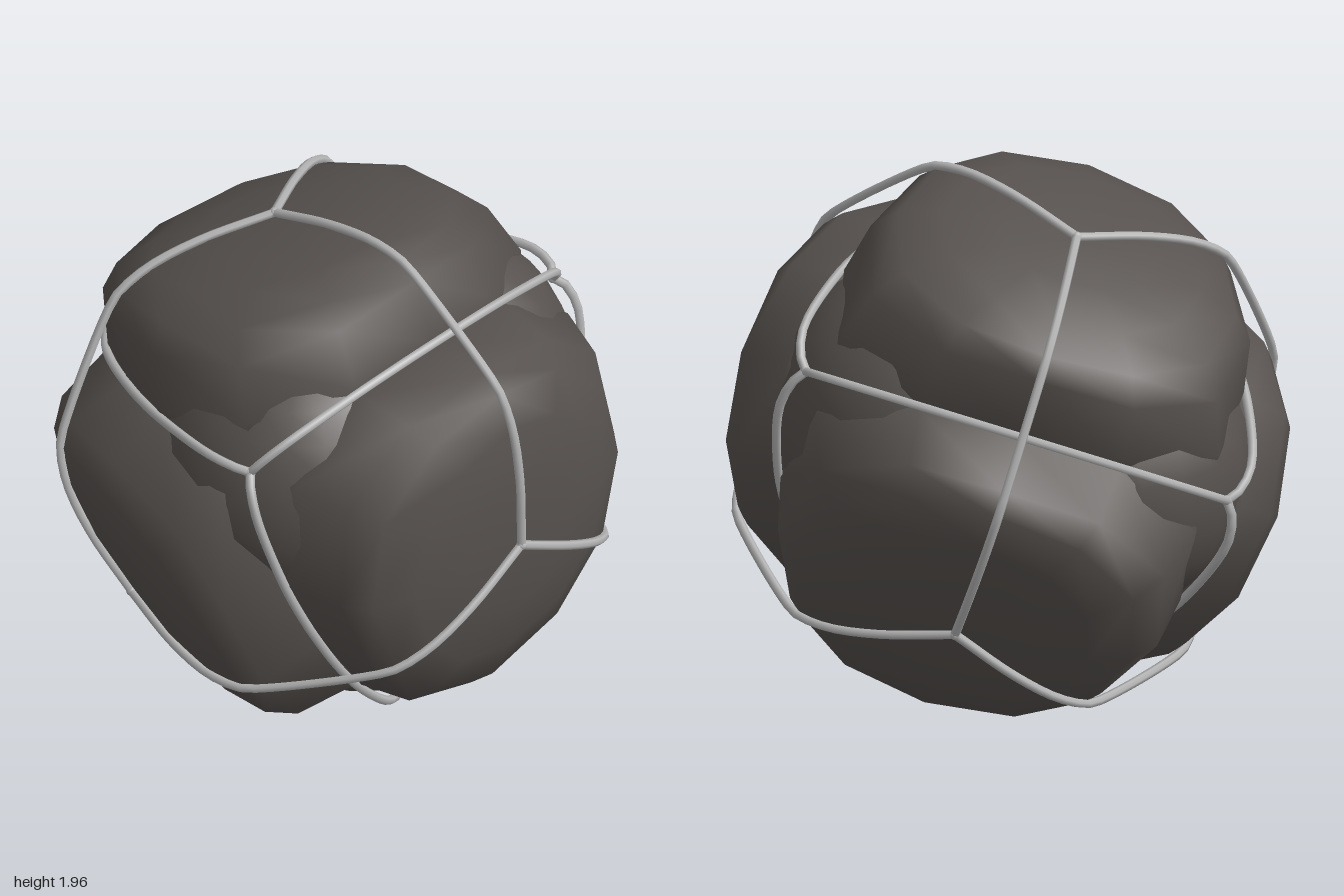
import * as THREE from 'three';
import { mergeVertices } from 'three/addons/utils/BufferGeometryUtils.js';

const stone = new THREE.MeshStandardMaterial({ color: 0x56514e });
const cord = new THREE.MeshStandardMaterial({ color: 0xb4b4b4 });
const V = (x, y, z) => new THREE.Vector3(x, y, z);

// Tetrahedral directions: front, top, left, right lobes
const dirs = [
  V(0, 0, 1), V(0, 0.943, -0.333), V(0.816, -0.471, -0.333), V(-0.816, -0.471, -0.333),
].map((d) => d.normalize());
const names = ['front', 'top', 'left', 'right'];

// Lobe section: radius and height above centre, at the flat sides and at the corners
const rings = [
  [0, 0.89, 0, 0.89], [0.26, 0.885, 0.28, 0.88], [0.48, 0.85, 0.48, 0.835],
  [0.61, 0.795, 0.645, 0.76], [0.665, 0.72, 0.74, 0.655], [0.665, 0.48, 0.815, 0.46],
  [0.62, 0.4, 0.8, 0.36], [0.35, 0.2, 0.4, 0.2], [0, 0.1, 0, 0.1],
];

// Rounded triangular dome
function lobeGeometry(segments = 12) {
  const pos = [], index = [];
  for (const [sideR, sideH, cornerR, cornerH] of rings) {
    for (let j = 0; j < segments; j++) {
      const a = (j / segments) * Math.PI * 2;
      const t = 0.5 - 0.5 * Math.cos(3 * a);
      const r = sideR + (cornerR - sideR) * t;
      pos.push(r * Math.cos(a), r * Math.sin(a), sideH + (cornerH - sideH) * t);
    }
  }
  for (let k = 0; k < rings.length - 1; k++) {
    for (let j = 0; j < segments; j++) {
      const n = (j + 1) % segments;
      const a = k * segments + j, b = k * segments + n;
      const c = a + segments, d = b + segments;
      if (k < rings.length - 2) index.push(a, c, d);
      else index.push(a, c, b);
      if (k > 0 && k < rings.length - 2) index.push(a, d, b);
    }
  }
  let geo = new THREE.BufferGeometry();
  geo.setAttribute('position', new THREE.Float32BufferAttribute(pos, 3));
  geo.setIndex(index);
  geo = mergeVertices(geo, 1e-4);
  geo.computeVertexNormals();
  return geo;
}

// Cord between two directions; half is a list of [offset from middle, height]
function cordMesh(a, b, half, name) {
  const up = a.clone().add(b).normalize();
  const along = b.clone().sub(a).normalize();
  const at = (s, h) => up.clone().multiplyScalar(h).addScaledVector(along, s);
  const points = [
    ...half.map(([s, h]) => at(-s, h)),
    ...half.slice().reverse().filter(([s]) => s > 0).map(([s, h]) => at(s, h)),
  ];
  const curve = new THREE.CatmullRomCurve3(points, false, 'centripetal');
  const mesh = new THREE.Mesh(new THREE.TubeGeometry(curve, 32, 0.017, 6), cord);
  mesh.name = name;
  return mesh;
}

export function createModel() {
  const model = new THREE.Group();
  model.name = 'cordedCluster';
  const body = new THREE.Group();
  body.name = 'body';
  body.position.set(0, 0.97, 0.03);
  model.add(body);

  // Four large lobes, flat sides turned to each other
  const lobe = lobeGeometry();
  dirs.forEach((d, i) => {
    const u = dirs[(i + 1) % 4].clone();
    u.addScaledVector(d, -u.dot(d)).normalize();
    const v = d.clone().cross(u);
    const mesh = new THREE.Mesh(lobe, stone);
    mesh.quaternion.setFromRotationMatrix(new THREE.Matrix4().makeBasis(u, v, d));
    mesh.name = names[i] + 'Lobe';
    body.add(mesh);
  });

  // Small knobs filling the gaps where three lobes meet
  const knob = new THREE.SphereGeometry(0.56, 20, 14);
  dirs.forEach((d, i) => {
    const mesh = new THREE.Mesh(knob, stone);
    mesh.position.copy(d).multiplyScalar(-0.375);
    mesh.name = names[i] + 'OppositeKnob';
    body.add(mesh);
  });

  // Cord over the lobes: lobe centre to lobe centre, pulled straight over the gap
  const ridge = [[0, 0.9], [0.28, 0.893], [0.48, 0.86], [0.6, 0.81], [0.65, 0.77]].map(([r, h]) => {
    // Turn lobe-centred radius and height into the frame of the pair's midpoint
    const c = Math.sqrt(1 / 3), s = Math.sqrt(2 / 3);
    return [h * s - r * c, h * c + r * s];
  });
  // Cord in the valleys: gap centre to gap centre
  const valley = [[0.78, 0.55], [0.77, 0.6], [0.69, 0.685], [0.4, 0.79], [0.2, 0.822], [0, 0.83]];
  for (let i = 0; i < 4; i++) {
    for (let j = i + 1; j < 4; j++) {
      const pair = names[i] + 'To' + names[j][0].toUpperCase() + names[j].slice(1);
      body.add(cordMesh(dirs[i], dirs[j], ridge, pair + 'RidgeCord'));
      body.add(cordMesh(dirs[i].clone().negate(), dirs[j].clone().negate(), valley, pair + 'ValleyCord'));
    }
  }

  // Knots where three cords meet
  const knot = new THREE.IcosahedronGeometry(0.02, 1);
  dirs.forEach((d, i) => {
    for (const [r, kind] of [[0.9, 'RidgeKnot'], [-0.955, 'ValleyKnot']]) {
      const mesh = new THREE.Mesh(knot, cord);
      mesh.position.copy(d).multiplyScalar(r);
      mesh.name = names[i] + kind;
      body.add(mesh);
    }
  });
  return model;
}
